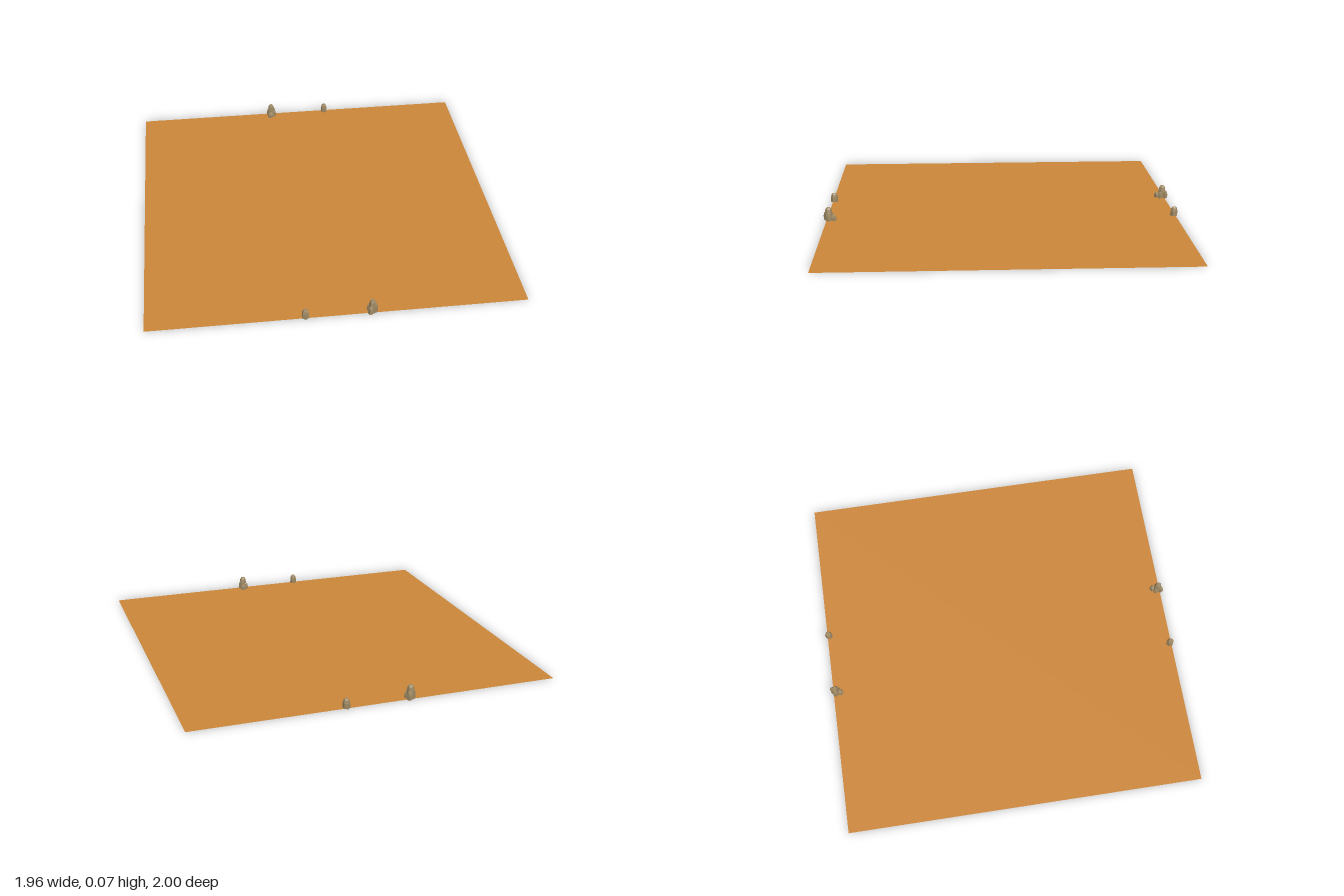
import * as THREE from 'three';

const sandMaterial = new THREE.MeshStandardMaterial({ color: 0xcc8639, side: THREE.DoubleSide });
const stoneMaterial = new THREE.MeshStandardMaterial({ color: 0xa08a64, flatShading: true });

// Faceted stone: a lathe-like prism, tapered to a chamfered top, standing on its base
function stone(name, width, height, depth, x, z, turn, sides = 6) {
  const profile = [[0, 0], [0.5, 0], [0.48, 0.55], [0.38, 0.88], [0.26, 1], [0, 1]];
  const geometry = new THREE.LatheGeometry(profile.map(([r, y]) => new THREE.Vector2(r, y)), sides);
  geometry.scale(width, height, depth);
  const mesh = new THREE.Mesh(geometry, stoneMaterial);
  mesh.name = name;
  mesh.position.set(x, 0, z);
  mesh.rotation.y = turn;
  return mesh;
}

// One side of the field: a clustered marker and a single small stone
function gateway(name) {
  const group = new THREE.Group();
  group.name = name;

  const cluster = new THREE.Group();
  cluster.name = 'stoneCluster';
  cluster.position.set(0.172, 0, 0.963);
  cluster.add(
    stone('tallStone', 0.042, 0.072, 0.046, 0, 0.004, 0.2),
    stone('innerStone', 0.036, 0.03, 0.036, 0.006, -0.022, 0.5, 5),
    stone('outerStone', 0.028, 0.042, 0.032, -0.012, 0.02, -0.4, 5),
    stone('sideStone', 0.026, 0.046, 0.03, 0.014, 0.004, 0.3, 5),
    stone('lowStone', 0.026, 0.036, 0.028, -0.015, -0.008, 0.9, 5),
  );

  group.add(cluster, stone('smallStone', 0.038, 0.05, 0.042, -0.172, 0.971, 0.1));
  return group;
}

export function createModel() {
  const model = new THREE.Group();
  model.name = 'sandField';

  // Flat square ground
  const ground = new THREE.Mesh(new THREE.PlaneGeometry(1.96, 1.96).rotateX(-Math.PI / 2), sandMaterial);
  ground.name = 'ground';
  model.add(ground);

  // Matching stones on the opposite edges, turned half a circle
  const front = gateway('frontStones');
  const back = gateway('backStones');
  back.rotation.y = Math.PI;
  model.add(front, back);
  return model;
}
